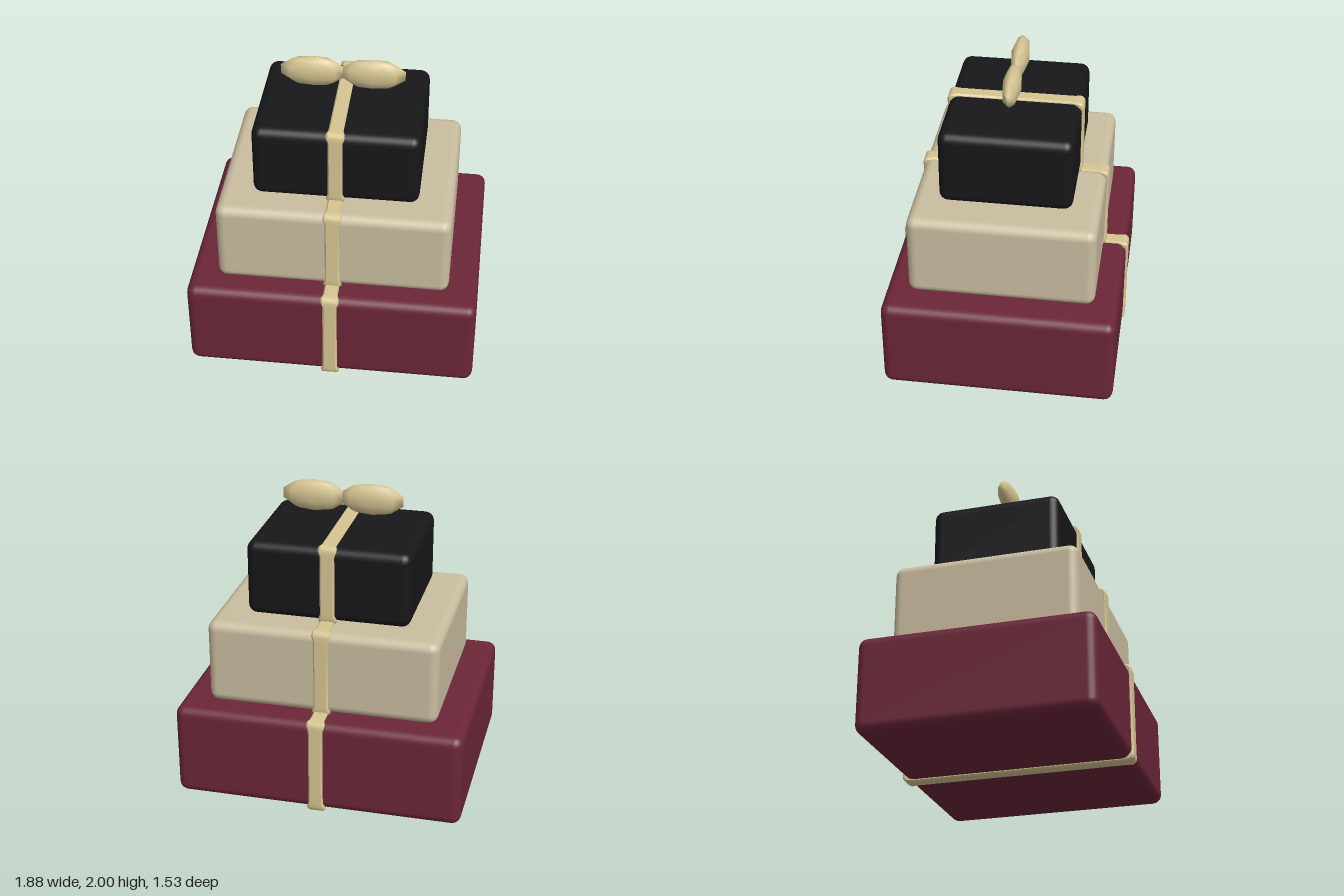
import * as THREE from 'three';
import { RoundedBoxGeometry } from 'three/addons/geometries/RoundedBoxGeometry.js';
import { toCreasedNormals } from 'three/addons/utils/BufferGeometryUtils.js';

const material = (color) => new THREE.MeshStandardMaterial({ color });

// Closed band in the yz plane: a bevelled strip that widens at its rounded corners
function ribbonGeometry(halfY, halfZ) {
  const radius = 0.035, steps = 3;
  const path = [];
  for (let corner = 0; corner < 4; corner++) {
    const a0 = corner * Math.PI / 2;
    const cz = Math.sign(Math.cos(a0 + 0.7)) * (halfZ - radius);
    const cy = Math.sign(Math.sin(a0 + 0.7)) * (halfY - radius);
    const add = (angle, along, w) => path.push({
      z: cz + along * Math.sin(angle), y: cy - along * Math.cos(angle),
      nz: Math.cos(angle), ny: Math.sin(angle), w
    });
    add(a0, 0.03, 0.047);
    for (let i = 0; i <= steps; i++) add(a0 + (i / steps) * Math.PI / 2, 0, 0.058);
    add(a0 + Math.PI / 2, -0.03, 0.047);
  }
  // Along each corner, the first point lies before it and the last beyond it
  for (let c = 0; c < 4; c++) {
    for (const [k, dir] of [[0, -1], [steps + 2, 1]]) {
      const p = path[c * (steps + 3) + k];
      const q = path[c * (steps + 3) + (k === 0 ? 1 : steps + 1)];
      p.z = q.z - dir * 0.03 * q.ny;
      p.y = q.y + dir * 0.03 * q.nz;
    }
  }
  // Cross-section: [share of half-width, distance out from the corner centre]
  const section = [[-1, 0], [-1, radius - 0.01], [-0.8, radius], [0.8, radius], [1, radius - 0.01], [1, 0]];
  const n = section.length, positions = [], index = [];
  path.forEach((p, i) => {
    for (const [sx, out] of section) positions.push(sx * p.w, p.y + p.ny * out, p.z + p.nz * out);
    const next = (i + 1) % path.length;
    for (let j = 0; j < n - 1; j++) {
      const a = i * n + j, b = a + 1, c = next * n + j, d = c + 1;
      index.push(a, b, c, b, d, c);
    }
  });
  const geometry = new THREE.BufferGeometry();
  geometry.setAttribute('position', new THREE.Float32BufferAttribute(positions, 3));
  geometry.setIndex(index);
  return toCreasedNormals(geometry, 0.6);
}

export function createModel() {
  const model = new THREE.Group();
  model.name = 'giftStack';
  const gold = material(0xd6c592);
  gold.side = THREE.DoubleSide;

  // Three stacked boxes, each with its own ribbon
  const tiers = [
    { name: 'bottom', w: 1.88, d: 1.5, y0: 0.017, y1: 0.64, color: 0x6b2638 },
    { name: 'middle', w: 1.5, d: 1.2, y0: 0.64, y1: 1.2, color: 0xcabda0 },
    { name: 'top', w: 1.06, d: 0.85, y0: 1.205, y1: 1.702, color: 0x17171a }
  ];
  for (const { name, w, d, y0, y1, color } of tiers) {
    const box = new THREE.Mesh(new RoundedBoxGeometry(w, y1 - y0, d, 3, 0.06), material(color));
    box.name = name + 'Box';
    box.position.y = (y0 + y1) / 2;
    const ribbon = new THREE.Mesh(ribbonGeometry((y1 - y0) / 2 + 0.015, d / 2 + 0.014), gold);
    ribbon.name = name + 'Ribbon';
    ribbon.position.y = box.position.y;
    model.add(box, ribbon);
  }

  // Bow: two low-poly flattened loops meeting above the top box
  const bow = new THREE.Group();
  bow.name = 'bow';
  for (const side of [-1, 1]) {
    const loop = new THREE.Mesh(new THREE.SphereGeometry(1, 8, 5), gold);
    loop.name = side > 0 ? 'leftBowLoop' : 'rightBowLoop';
    loop.scale.set(0.215, 0.105, 0.06);
    loop.position.set(side * 0.19, 1.895, 0);
    bow.add(loop);
  }
  model.add(bow);
  return model;
}
